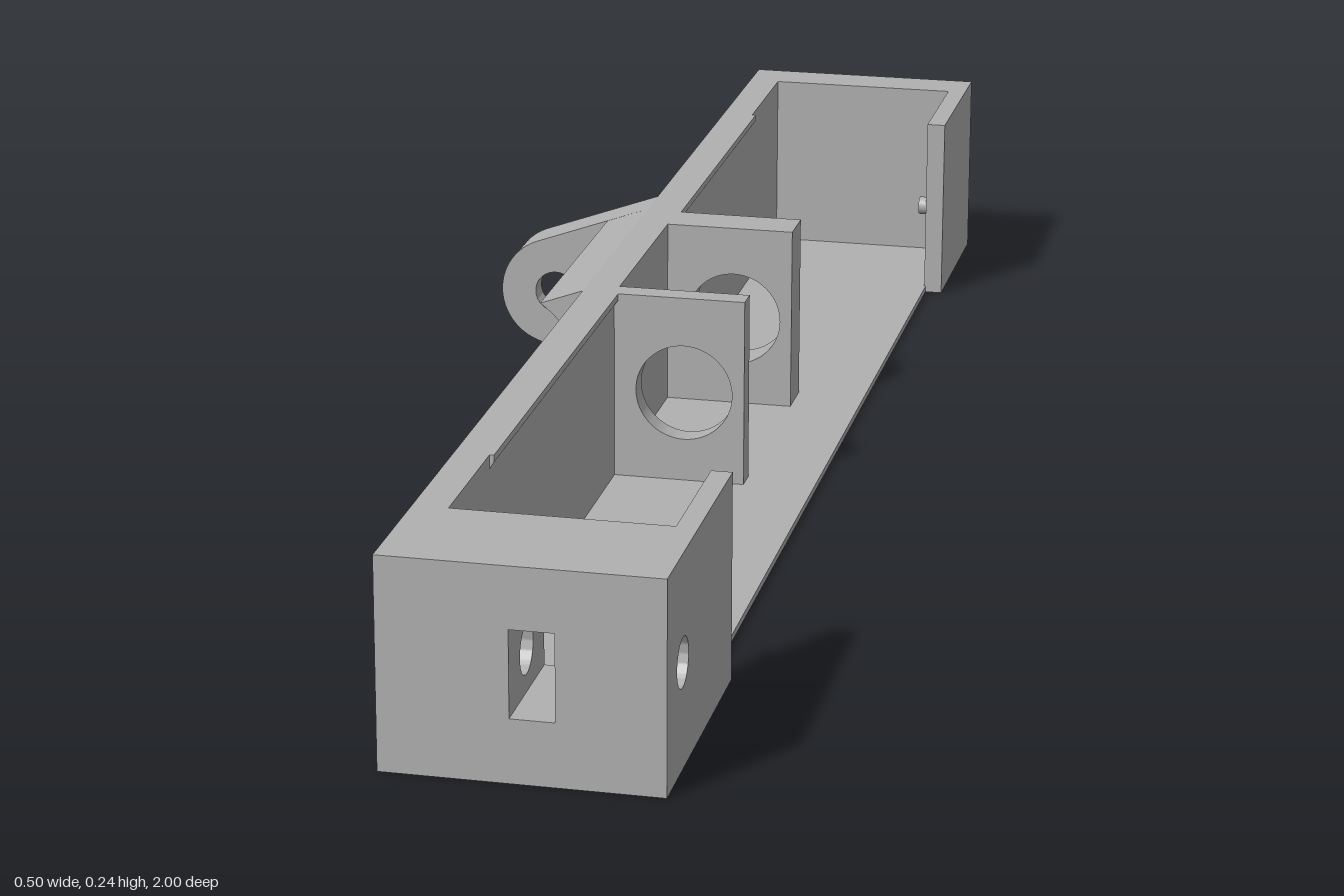
import * as THREE from 'three';
import { toCreasedNormals } from 'three/addons/utils/BufferGeometryUtils.js';

const H = 0.242, MID = 0.121;      // body height and hole centre height
const PIVOT = -0.183;              // x of the pivot axis

export function createModel() {
  const group = new THREE.Group();
  const grey = new THREE.MeshStandardMaterial({ color: 0xb0b0b0 });
  grey.name = 'grey plastic';

  const add = (name, geometry) => {
    const mesh = new THREE.Mesh(geometry, grey);
    mesh.name = name;
    group.add(mesh);
    return mesh;
  };
  const box = (name, x0, x1, y0, y1, z0, z1) =>
    add(name, new THREE.BoxGeometry(x1 - x0, y1 - y0, z1 - z0)
      .translate((x0 + x1) / 2, (y0 + y1) / 2, (z0 + z1) / 2));

  const rect = (a0, a1, b0, b1, Type = THREE.Shape) => new Type([
    [a0, b0], [a1, b0], [a1, b1], [a0, b1]].map(p => new THREE.Vector2(...p)));
  const circle = (a, r) => new THREE.Path().absarc(a, MID, r, 0, Math.PI * 2, true);
  const extrude = (shape, depth) => toCreasedNormals(
    new THREE.ExtrudeGeometry(shape, { depth, bevelEnabled: false, curveSegments: 32 }), 0.5);

  // Outline in x, y pulled along z
  const alongZ = (name, shape, z0, z1) => add(name, extrude(shape, z1 - z0).translate(0, 0, z0));
  // Outline in -z, y pulled along x
  const alongX = (name, shape, x0, x1) =>
    add(name, extrude(shape, x1 - x0).rotateY(Math.PI / 2).translate(x0, 0, 0));

  // Tray floor and solid back end
  box('floor', -0.06, 0.228, 0, 0.008, -0.94, 0.85);
  box('backEnd', -0.06, 0.25, 0, H, -1, -0.94);

  // Front end: a cross hole meets an upright slot
  for (const [x0, x1] of [[-0.06, 0.083], [0.132, 0.25]]) {
    const side = rect(-1, -0.85, 0, H);
    side.holes.push(circle(-0.925, 0.028));
    alongX('frontEndSide', side, x0, x1);
  }
  box('frontEndBelowSlot', 0.083, 0.132, 0, 0.073, 0.85, 1);
  box('frontEndAboveSlot', 0.083, 0.132, 0.172, H, 0.85, 1);

  // Long wall with its window
  const wall = rect(-0.85, 0.94, 0, H);
  wall.holes.push(rect(-0.06, 0.025, 0.08, 0.17, THREE.Path));
  alongX('longWall', wall, -0.06, -0.02);

  // Snap ridge under the top edge of the long wall
  const ridge = new THREE.Shape([[-0.02, 0.226], [-0.015, 0.234], [-0.015, H], [-0.02, H]]
    .map(p => new THREE.Vector2(...p)));
  for (const [z0, z1] of [[0.085, 0.68], [-0.755, -0.272]]) alongZ('wallRidge', ridge, z0, z1);

  // Short returns on the open side, each with a small nub
  for (const [z0, z1, nubZ] of [[0.675, 0.85, 0.687], [-0.94, -0.76, -0.775]]) {
    box('sideReturn', 0.226, 0.25, 0, H, z0, z1);
    add('nub', new THREE.CylinderGeometry(0.012, 0.012, 0.014, 20)
      .rotateZ(Math.PI / 2).translate(0.222, MID, nubZ));
  }

  // Bearing plates inside the tray
  for (const [z0, z1] of [[0.055, 0.085], [-0.272, -0.215]]) {
    const plate = rect(-0.02, 0.142, 0, H);
    plate.holes.push(circle(0.067, 0.06));
    alongZ('bearingPlate', plate, z0, z1);
  }

  // Hollow cradle on the outside, left open at the window
  const cradle = (a0, a1, corners, z0, z1) => {
    const shape = new THREE.Shape();
    shape.absarc(PIVOT, MID, 0.123, a0, a1, false);
    for (const [x, y] of corners) shape.lineTo(x, y);
    alongZ('cradle', shape, z0, z1);
  };
  const A = 0.4, B = 0.97, yA = 0.123 * Math.sin(A);
  cradle(A, B, [[-0.06, H], [-0.06, MID + yA]], -0.275, 0.083);
  cradle(-B, -A, [[-0.06, MID - yA], [-0.06, 0]], -0.275, 0.083);
  for (const [z0, z1] of [[-0.275, -0.025], [0.06, 0.083]]) {
    cradle(0, A, [[-0.06, MID + yA]], z0, z1);
    cradle(-A, 0, [[-0.06, MID - yA]], z0, z1);
  }

  // Pivot lug, counterbored from the back
  for (const [r, z0, z1] of [[0.045, -0.335, -0.305], [0.027, -0.305, -0.275]]) {
    const lug = new THREE.Shape();
    lug.moveTo(-0.06, 0);
    lug.lineTo(-0.06, H);
    lug.absarc(PIVOT, MID, 0.072, 1.912, -1.912 + Math.PI * 2, false);
    lug.closePath();
    lug.holes.push(circle(PIVOT, r));
    alongZ('pivotLug', lug, z0, z1);
  }
  return group;
}
